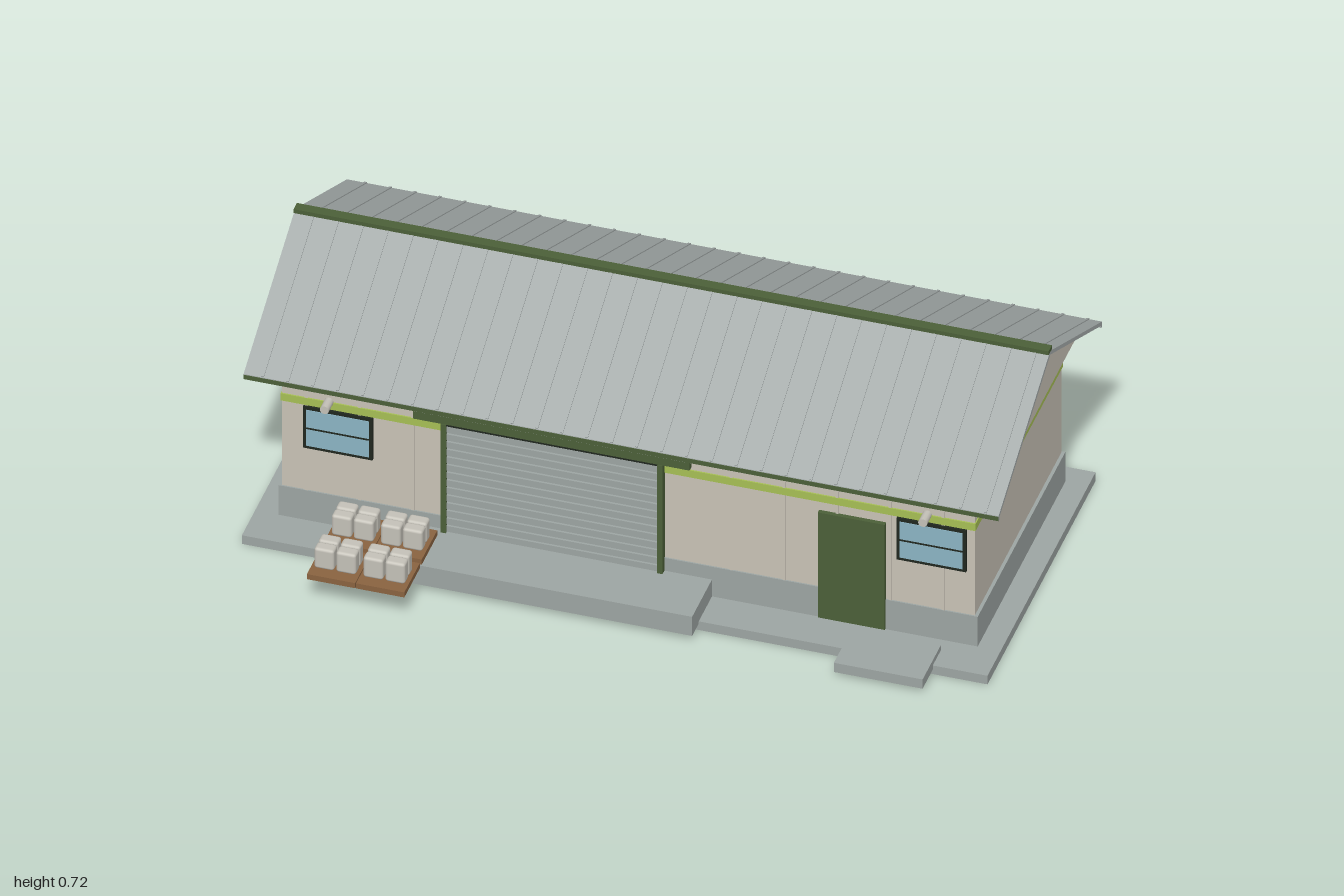
import * as THREE from 'three';
import { RoundedBoxGeometry } from 'three/addons/geometries/RoundedBoxGeometry.js';

const mat = (name, color) => {
  const m = new THREE.MeshStandardMaterial({ color });
  m.name = name;
  return m;
};

export function createModel() {
  const wall = mat('wall cream', 0xc9c3b6);
  const concrete = mat('concrete grey', 0x9da5a3);
  const roofing = mat('roof grey', 0xa4abaa);
  const green = mat('dark green', 0x4c6038);
  const lime = mat('lime stripe', 0xa6bf55);
  const glass = mat('window glass', 0x8bb4c4);
  const dark = mat('dark trim', 0x20271f);
  const wood = mat('pallet wood', 0x8a6340);
  const sackMat = mat('sack', 0xc4c1b8);

  const model = new THREE.Group();
  model.name = 'warehouse';

  const add = (name, geo, material, parent = model) => {
    const m = new THREE.Mesh(geo, material);
    m.name = name;
    parent.add(m);
    return m;
  };
  // Box given by its minimum and maximum along each axis
  const box = (name, material, x0, x1, y0, y1, z0, z1, parent) => {
    const m = add(name, new THREE.BoxGeometry(x1 - x0, y1 - y0, z1 - z0), material, parent);
    m.position.set((x0 + x1) / 2, (y0 + y1) / 2, (z0 + z1) / 2);
    return m;
  };
  // Outline of [z, y] points extruded along x, centred on x = 0
  const alongX = (name, material, points, length) => {
    const shape = new THREE.Shape(points.map(([z, y]) => new THREE.Vector2(z, y)));
    const geo = new THREE.ExtrudeGeometry(shape, { depth: length, bevelEnabled: false });
    geo.translate(0, 0, -length / 2).rotateY(-Math.PI / 2);
    return add(name, geo, material);
  };
  const group = (name) => {
    const g = new THREE.Group();
    g.name = name;
    model.add(g);
    return g;
  };

  // Ground slab, plinth and wall body
  box('groundSlab', concrete, -0.99, 0.985, 0, 0.027, -0.55, 0.355);
  box('plinth', concrete, -0.928, 0.924, 0.027, 0.12, -0.49, 0.244);
  box('walls', wall, -0.92, 0.915, 0.12, 0.53, -0.485, 0.24);
  box('stripe', lime, -0.923, 0.918, 0.388, 0.41, -0.489, 0.244);

  // Attic with overhanging gable ends
  const ridgeZ = -0.123;
  alongX('gables', wall, [[0.24, 0.528], [ridgeZ, 0.7], [-0.485, 0.528]], 1.94);

  // Wall battens on the back and the free parts of the front
  const battens = group('wallBattens');
  for (let i = 0; i < 13; i++) {
    const x = -0.855 + i * 0.1406;
    box('backBatten', wall, x - 0.004, x + 0.004, 0.12, 0.505, -0.488, -0.484, battens);
    if (x < -0.57 || x > 0.17)
      box('frontBatten', wall, x - 0.004, x + 0.004, 0.12, 0.505, 0.239, 0.243, battens);
  }

  // Roof sheet with turned-down eaves
  const eave = 0.433, ridgeY = 0.714, eaveY = 0.5;
  alongX('roof', roofing, [
    [ridgeZ, ridgeY], [ridgeZ - eave, eaveY], [ridgeZ - eave, 0.484], [ridgeZ - eave + 0.006, 0.484],
    [ridgeZ - eave + 0.006, 0.491], [ridgeZ, 0.702], [ridgeZ + eave - 0.006, 0.491],
    [ridgeZ + eave - 0.006, 0.484], [ridgeZ + eave, 0.484], [ridgeZ + eave, eaveY],
  ], 2);
  box('ridgeCap', green, -1, 1, 0.71, 0.722, ridgeZ - 0.014, ridgeZ + 0.014);

  // Standing seams and eave trims, mirrored over the ridge
  const slope = Math.atan2(ridgeY - eaveY, eave);
  const slopeLength = Math.hypot(ridgeY - eaveY, eave);
  const seams = group('roofSeams');
  for (const side of [1, -1]) {
    const z = ridgeZ + side * eave;
    box('eaveTrim', green, -1, 1, 0.485, 0.498, z - 0.001, z + 0.001);
    for (let i = 0; i < 30; i++) {
      const seam = add('seam', new THREE.BoxGeometry(0.007, 0.006, slopeLength - 0.004), roofing, seams);
      seam.position.set(-0.95 + i * 0.066, (ridgeY + eaveY) / 2, ridgeZ + side * eave / 2);
      seam.rotation.x = side * slope;
    }
  }

  // Roller shutter with slats, jambs and header
  const shutter = group('rollerShutter');
  box('shutterPanel', concrete, -0.48, 0.08, 0.08, 0.43, 0.235, 0.249, shutter);
  for (let i = 0; i < 14; i++) {
    const y = 0.082 + i * 0.024;
    box('slat', concrete, -0.48, 0.08, y, y + 0.018, 0.245, 0.255, shutter);
  }
  box('leftJamb', green, 0.08, 0.094, 0.06, 0.42, 0.235, 0.26, shutter);
  box('rightJamb', green, -0.494, -0.48, 0.06, 0.42, 0.235, 0.26, shutter);
  box('headerShadowGap', dark, -0.48, 0.08, 0.414, 0.425, 0.245, 0.257, shutter);
  box('header', green, -0.568, 0.165, 0.42, 0.515, 0.235, 0.258, shutter);

  // Side door
  box('doorFrame', green, 0.503, 0.68, 0.03, 0.36, 0.235, 0.252);

  // Loading dock and door step
  box('loadingDock', concrete, -0.62, 0.22, 0.02, 0.08, 0.24, 0.41);
  box('doorStep', concrete, 0.605, 0.84, 0.014, 0.043, 0.285, 0.44);

  // Windows with a lamp above each
  for (const x of [-0.77, 0.802]) {
    const w = group('window');
    box('windowFrame', dark, x - 0.092, x + 0.092, 0.256, 0.386, 0.235, 0.248, w);
    box('pane', glass, x - 0.083, x + 0.083, 0.265, 0.377, 0.245, 0.25, w);
    box('glazingBar', dark, x - 0.083, x + 0.083, 0.319, 0.323, 0.246, 0.252, w);
  }
  for (const x of [-0.795, 0.79]) {
    const lamp = add('lamp', new THREE.CylinderGeometry(0.012, 0.012, 0.04, 12), sackMat);
    lamp.rotation.x = Math.PI / 2;
    lamp.position.set(x, 0.412, 0.262);
  }

  // Four pallets, each carrying two rows of two sacks
  for (const px of [-0.689, -0.559]) {
    for (const pz of [0.349, 0.495]) {
      const p = group('loadedPallet');
      box('pallet', wood, px - 0.064, px + 0.064, 0.087, 0.103, pz - 0.065, pz + 0.065, p);
      for (const sx of [-0.029, 0.029]) {
        for (const sz of [-0.018, 0.018]) {
          const sack = add('sack', new RoundedBoxGeometry(0.053, 0.063, 0.034, 2, 0.008), sackMat, p);
          sack.position.set(px + sx, 0.134, pz + sz);
        }
      }
    }
  }

  return model;
}
